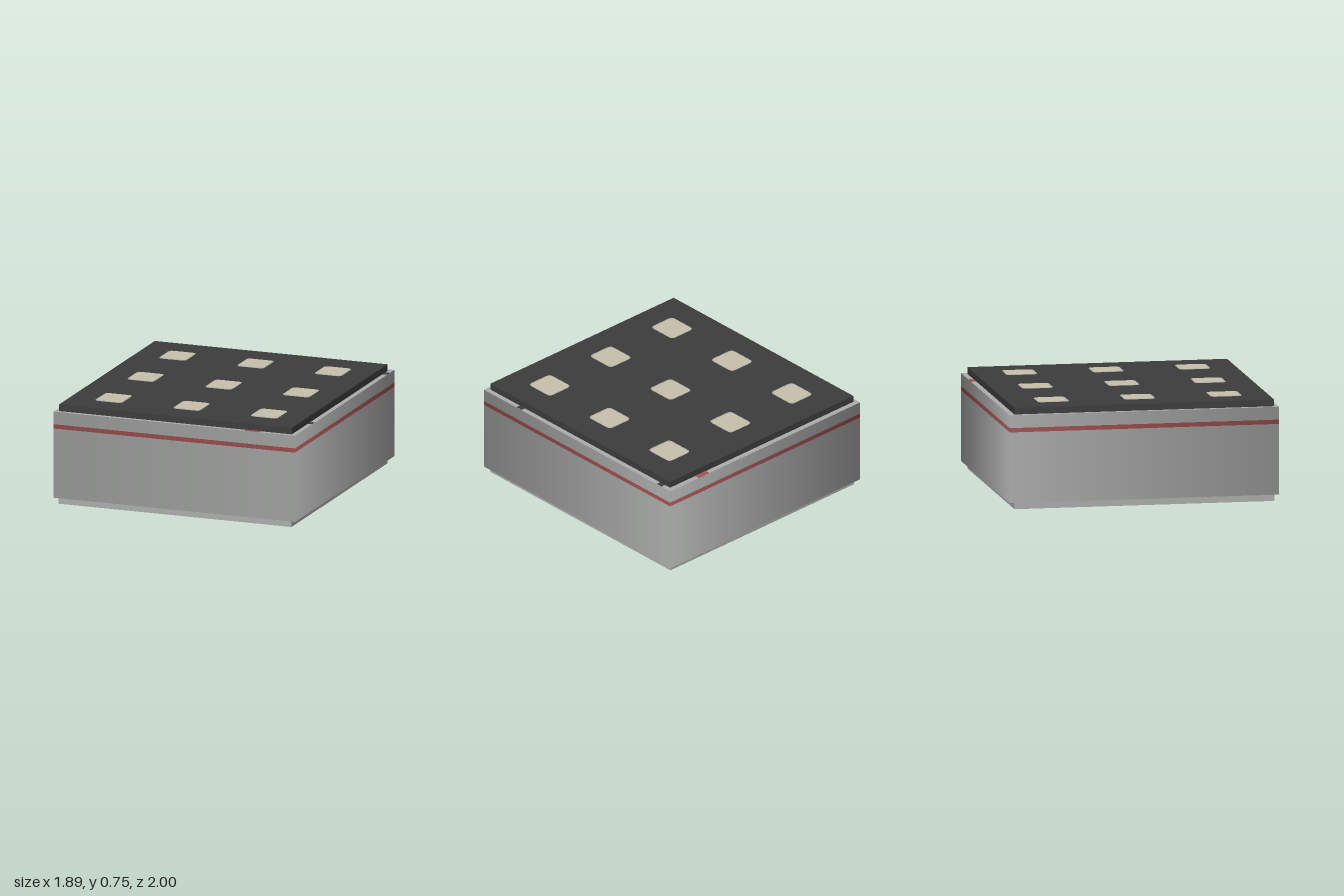
import * as THREE from 'three';

const mat = (name, color) => {
  const m = new THREE.MeshStandardMaterial({ color });
  m.name = name;
  return m;
};

export function createModel() {
  const grey = mat('grey', 0xacaeac);
  const dark = mat('charcoal', 0x3d3d3d);
  const red = mat('red', 0xa65353);
  const cream = mat('cream', 0xc8c1ab);
  const model = new THREE.Group();

  const add = (name, geo, material, x = 0, y = 0, z = 0) => {
    const mesh = new THREE.Mesh(geo, material);
    mesh.name = name;
    mesh.position.set(x, y, z);
    model.add(mesh);
  };
  // Axis-aligned slab given by its limits
  const slab = (name, material, x0, x1, y0, y1, z0, z1) =>
    add(name, new THREE.BoxGeometry(x1 - x0, y1 - y0, z1 - z0), material,
      (x0 + x1) / 2, (y0 + y1) / 2, (z0 + z1) / 2);
  // Four-sided wall with normals blended around its corners
  const wall = (name, material, y0, y1) => {
    const r = Math.SQRT1_2;
    const geo = new THREE.CylinderGeometry(r, r, y1 - y0, 4, 1, false, Math.PI / 4);
    geo.scale(1.89, 1, 2);
    add(name, geo, material, 0, (y0 + y1) / 2, 0);
  };
  // Thin horizontal plate with rounded corners
  const plate = (w, d, r, h) => {
    const s = new THREE.Shape();
    const a = w / 2, b = d / 2;
    s.moveTo(-a + r, -b);
    s.lineTo(a - r, -b).quadraticCurveTo(a, -b, a, -b + r);
    s.lineTo(a, b - r).quadraticCurveTo(a, b, a - r, b);
    s.lineTo(-a + r, b).quadraticCurveTo(-a, b, -a, b - r);
    s.lineTo(-a, -b + r).quadraticCurveTo(-a, -b, -a + r, -b);
    return new THREE.ExtrudeGeometry(s, { depth: h, bevelEnabled: false, curveSegments: 4 })
      .rotateX(-Math.PI / 2);
  };

  // Body with a red band, recessed base and roof
  wall('lowerBody', grey, 0.05, 0.573);
  wall('redBand', red, 0.573, 0.605);
  wall('upperBody', grey, 0.605, 0.7);
  slab('base', grey, -0.92, 0.905, 0, 0.05, -0.96, 0.97);
  slab('roof', dark, -0.915, 0.908, 0.7, 0.749, -0.96, 0.97);

  // Painted marks on the rim and the underside
  for (const [z0, z1] of [[-0.999, -0.955], [0.965, 0.999]]) {
    slab('rimMark', red, 0.555, 0.66, 0.699, 0.702, z0, z1);
  }
  slab('undersideMark', red, 0.555, 0.66, 0.048, 0.051, -0.999, -0.955);
  for (const z of [-0.88, 0.625]) {
    slab('rimNotch', dark, 0.9, 0.942, 0.699, 0.702, z - 0.025, z + 0.025);
  }
  for (const z of [-0.64, 0.86]) {
    slab('undersideNotch', dark, 0.9, 0.942, 0.048, 0.051, z - 0.025, z + 0.025);
  }

  // Three by three skylights with thin grey surrounds
  const frame = plate(0.213, 0.232, 0.035, 0.002);
  const pane = plate(0.2, 0.215, 0.03, 0.003);
  for (const x of [-0.608, 0.002, 0.608]) {
    for (const z of [-0.632, 0.01, 0.652]) {
      add('skylightFrame', frame, grey, x, 0.749, z + 0.004);
      add('skylight', pane, cream, x + 0.002, 0.749, z);
    }
  }
  return model;
}
